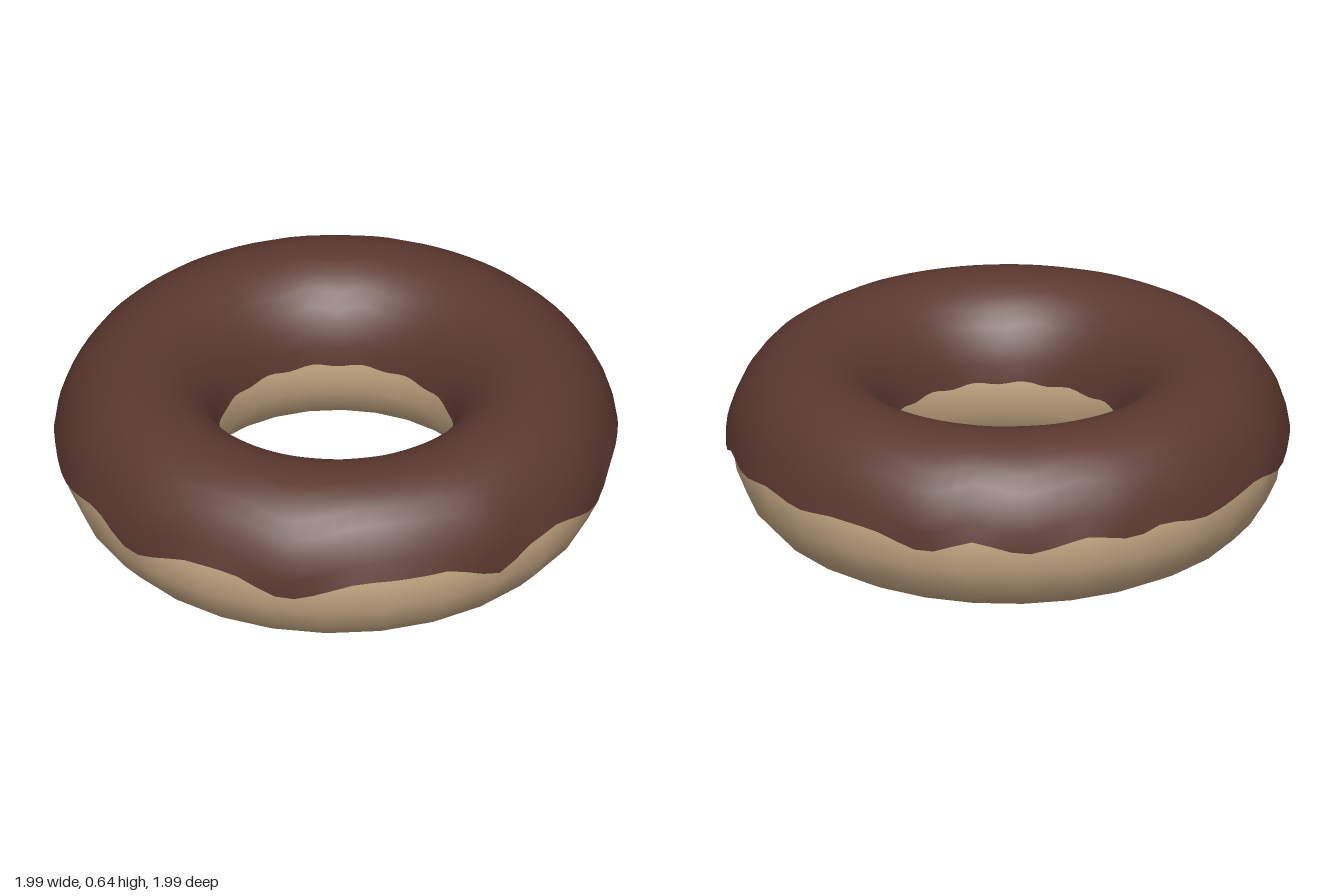
import * as THREE from 'three';

const RING = 0.697, MID = 0.31;

// Height of the icing's outer edge: [degrees from the front towards +x, y]
const DRIPS = [
  [-180, 0.35], [-170, 0.32], [-163, 0.35], [-153, 0.32], [-135, 0.355], [-122, 0.31],
  [-110, 0.35], [-98, 0.31], [-82, 0.36], [-70, 0.285], [-55, 0.36], [-46, 0.36],
  [-34, 0.285], [-18, 0.36], [0, 0.36], [12, 0.285], [21, 0.35], [28, 0.36],
  [43, 0.285], [54, 0.36], [66, 0.36], [78, 0.3], [85, 0.345], [94, 0.32],
  [105, 0.35], [115, 0.33], [125, 0.35], [134, 0.345], [146, 0.29], [156, 0.345],
  [167, 0.3], [180, 0.35],
];

function edgeHeight(deg) {
  let k = 1;
  while (k < DRIPS.length - 1 && DRIPS[k][0] < deg) k++;
  const [a0, y0] = DRIPS[k - 1], [a1, y1] = DRIPS[k];
  const t = THREE.MathUtils.clamp((deg - a0) / (a1 - a0), 0, 1);
  return y0 + (y1 - y0) * (0.5 * t + 0.5 * THREE.MathUtils.smoothstep(t, 0, 1));
}

// Shell over the upper half of the ring, with a folded lip along both edges
function icingGeometry() {
  const segments = 90, steps = 14, rows = steps + 5;
  const positions = [], indices = [];
  for (let i = 0; i < segments; i++) {
    const deg = -180 + (360 * i) / segments;
    const a = THREE.MathUtils.degToRad(deg);
    const y = edgeHeight(deg);
    const start = Math.asin((y - MID) / 0.33);
    const end = Math.PI - Math.asin((0.335 + 0.006 * Math.cos(a * 15) - MID) / 0.33);
    const add = (phi, w, h) => {
      const r = RING + Math.cos(phi) * w;
      positions.push(Math.sin(a) * r, MID + Math.sin(phi) * h, Math.cos(a) * r);
    };
    add(start, 0.25, 0.32);
    add(start, 0.3, 0.33);
    for (let j = 0; j <= steps; j++) {
      const phi = start + ((end - start) * j) / steps;
      // slightly thicker outside than in the hole, fullest at the drips
      const outer = 0.293 + (0.36 - y) * 0.13 * (1 - j / steps);
      add(phi, j === 0 ? 0.3 : Math.cos(phi) > 0 ? outer : 0.285, 0.33);
    }
    add(end, 0.285, 0.33);
    add(end, 0.25, 0.32);
  }
  for (let i = 0; i < segments; i++) {
    for (let j = 0; j < rows - 1; j++) {
      if (j === 1 || j === rows - 3) continue; // hard edge at each lip
      const p = i * rows + j, q = ((i + 1) % segments) * rows + j;
      indices.push(p, q, q + 1, p, q + 1, p + 1);
    }
  }
  const geometry = new THREE.BufferGeometry();
  geometry.setAttribute('position', new THREE.Float32BufferAttribute(positions, 3));
  geometry.setIndex(indices);
  geometry.computeVertexNormals();
  return geometry;
}

export function createModel() {
  const model = new THREE.Group();
  model.name = 'donut';

  // Dough ring, slightly taller than wide in section
  const doughGeometry = new THREE.TorusGeometry(RING, 0.277, 20, 28);
  doughGeometry.rotateX(Math.PI / 2);
  doughGeometry.scale(1, MID / 0.277, 1);
  doughGeometry.translate(0, MID, 0);
  const dough = new THREE.Mesh(doughGeometry, new THREE.MeshStandardMaterial({ color: 0xc9ab86 }));
  dough.name = 'dough';

  // Chocolate icing
  const icing = new THREE.Mesh(icingGeometry(),
    new THREE.MeshStandardMaterial({ color: 0x5c382f, side: THREE.DoubleSide }));
  icing.name = 'icing';

  model.add(dough, icing);
  return model;
}
